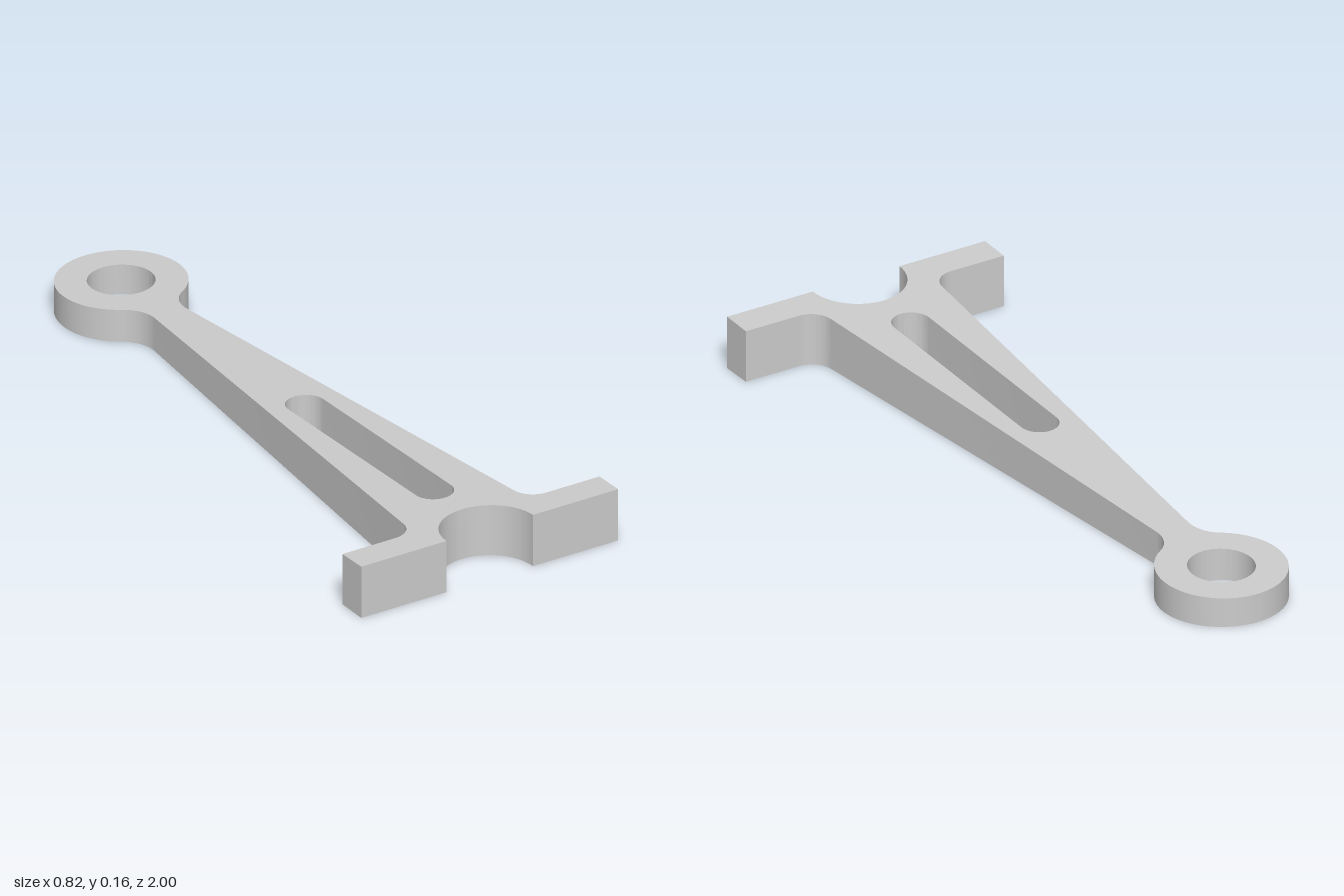
import * as THREE from 'three';
import { toCreasedNormals } from 'three/addons/utils/BufferGeometryUtils.js';

const deg = THREE.MathUtils.degToRad;

// Plan outline, drawn with shape y = -z
function planShape() {
  const s = new THREE.Shape();
  const arc = (x, y, r, from, to, clockwise) => s.absarc(x, y, r, deg(from), deg(to), clockwise);

  // right foot, base fillet, neck fillet
  s.moveTo(0.408, -1);
  s.lineTo(0.408, -0.907);
  arc(0.2405, -0.842, 0.065, 270, 185, true);
  arc(0.1504, 0.584, 0.1, 185, 122.5, true);
  // ring eye
  arc(0, 0.82, 0.18, -57.5, 237.5, false);
  // mirrored fillets and left foot
  arc(-0.1504, 0.584, 0.1, 57.5, -5, true);
  arc(-0.2405, -0.842, 0.065, -5, -90, true);
  s.lineTo(-0.408, -0.907);
  s.lineTo(-0.408, -1);
  // half-round notch between the feet
  arc(0, -1, 0.137, 180, 0, true);

  // round hole in the eye
  const eye = new THREE.Path();
  eye.absarc(0, 0.82, 0.092, 0, Math.PI * 2, true);

  // long slot with rounded ends
  const slot = new THREE.Path();
  slot.absarc(0, -0.09, 0.055, 0, Math.PI, false);
  slot.absarc(0, -0.723, 0.055, Math.PI, Math.PI * 2, false);

  s.holes.push(eye, slot);
  return s;
}

export function createModel() {
  const geometry = new THREE.ExtrudeGeometry(planShape(), {
    depth: 1, bevelEnabled: false, curveSegments: 48,
  });
  geometry.rotateX(-Math.PI / 2);

  // Taper the thickness from the feet down to the eye
  const p = geometry.attributes.position;
  for (let i = 0; i < p.count; i++) {
    p.setY(i, p.getY(i) * (0.12 + 0.035 * p.getZ(i)));
  }

  const arm = new THREE.Mesh(
    toCreasedNormals(geometry, 0.5),
    new THREE.MeshStandardMaterial({ color: 0xcccccc }),
  );
  arm.name = 'leverArm';

  const group = new THREE.Group();
  group.name = 'taperedLever';
  group.add(arm);
  return group;
}
